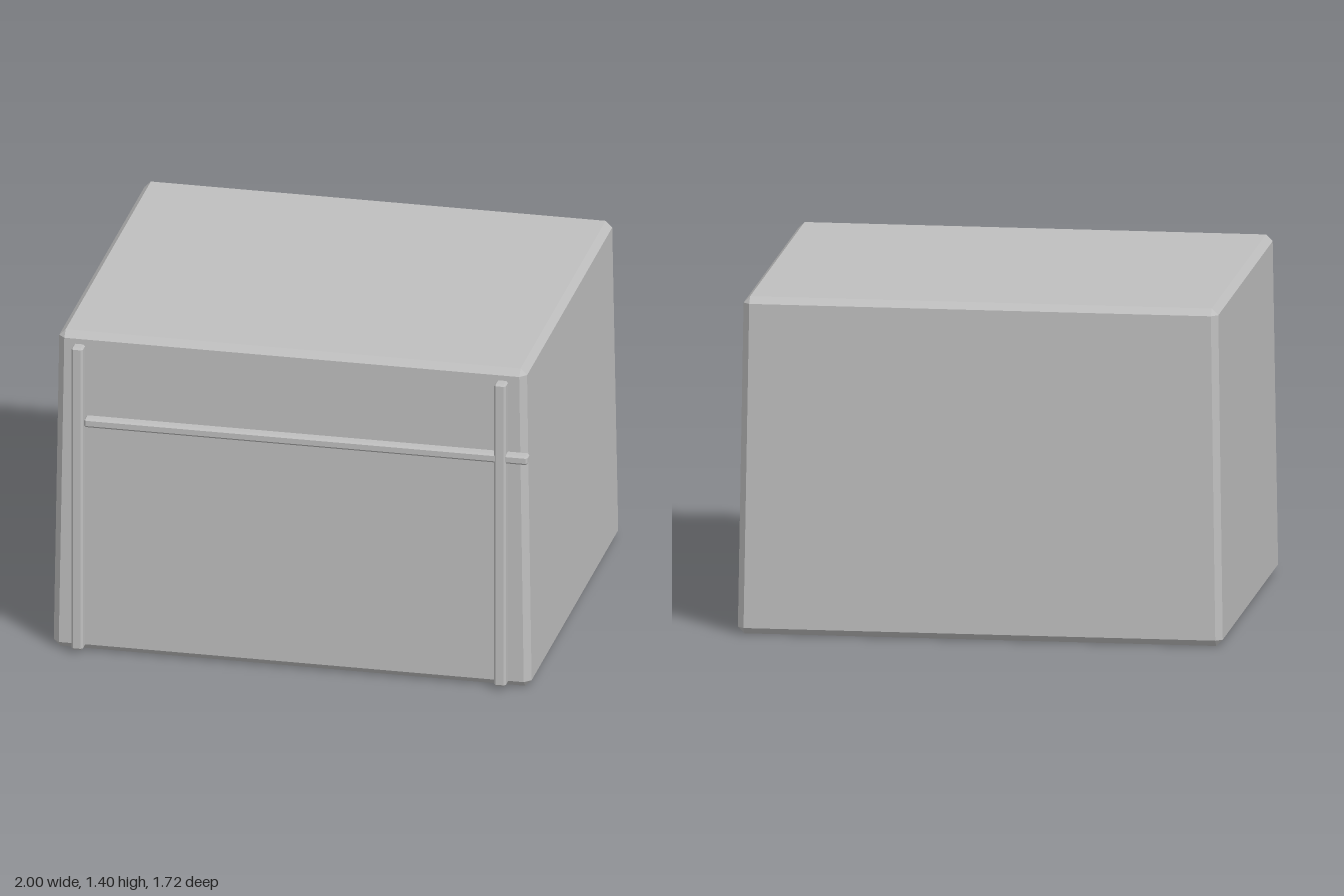
import * as THREE from 'three';
import { ConvexGeometry } from 'three/addons/geometries/ConvexGeometry.js';

// Box with chamfered edges; each end section is {y, x0, x1, z0, z1}
function chamferedBlock(bottom, top, c) {
  const points = [];
  for (const [s, inward] of [[bottom, 1], [top, -1]]) {
    for (const [x, dx] of [[s.x0, c], [s.x1, -c]]) {
      for (const [z, dz] of [[s.z0, c], [s.z1, -c]]) {
        points.push(
          new THREE.Vector3(x + dx, s.y, z + dz),
          new THREE.Vector3(x, s.y + inward * c, z + dz),
          new THREE.Vector3(x + dx, s.y + inward * c, z)
        );
      }
    }
  }
  return new ConvexGeometry(points);
}

export function createModel() {
  const model = new THREE.Group();
  model.name = 'crate';
  const grey = new THREE.MeshStandardMaterial({ color: 0xbfbfbf });
  grey.name = 'light grey';

  const add = (name, bottom, top, chamfer) => {
    const mesh = new THREE.Mesh(chamferedBlock(bottom, top, chamfer), grey);
    mesh.name = name;
    model.add(mesh);
  };
  const bar = (name, x0, x1, y0, y1, z0, z1) => {
    const s = { x0, x1, z0, z1 };
    add(name, { ...s, y: y0 }, { ...s, y: y1 }, 0.008);
  };

  // Body, slightly narrower at the top
  add('body',
    { y: 0, x0: -1, x1: 1, z0: -0.862, z1: 0.815 },
    { y: 1.4, x0: -0.979, x1: 0.979, z0: -0.844, z1: 0.806 }, 0.027);

  // Upright posts on the front
  bar('leftPost', 0.858, 0.907, 0.017, 1.355, 0.808, 0.862);
  bar('rightPost', -0.912, -0.863, 0.017, 1.355, 0.808, 0.862);

  // Cross rail, running past the left post
  bar('crossRail', -0.86, 0.997, 1.004, 1.043, 0.808, 0.857);

  return model;
}
